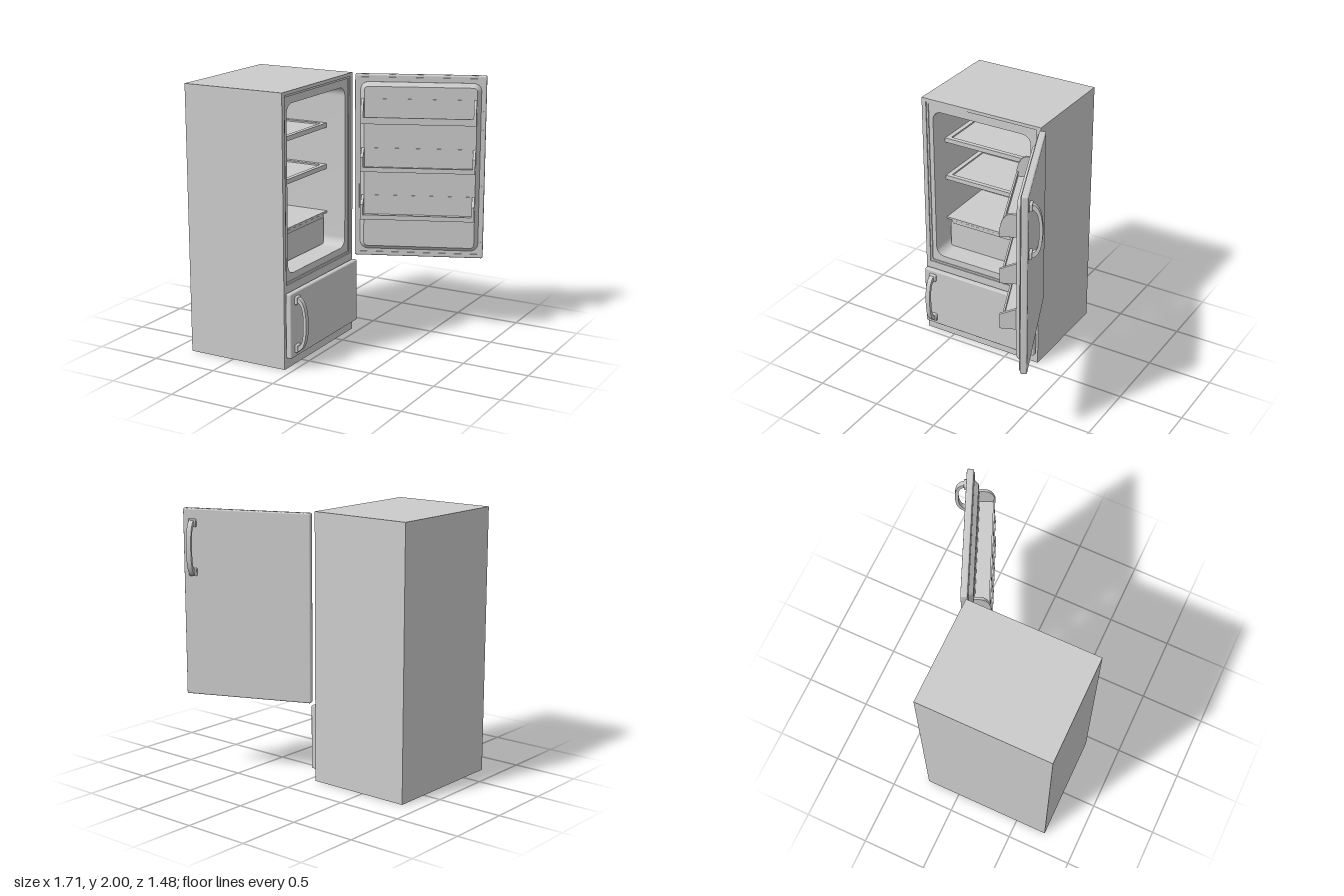
import * as THREE from 'three';
import { toCreasedNormals } from 'three/addons/utils/BufferGeometryUtils.js';
import { RoundedBoxGeometry } from 'three/addons/geometries/RoundedBoxGeometry.js';

const grey = new THREE.MeshStandardMaterial({ color: 0xcccccc });

function add(parent, name, geometry) {
  const mesh = new THREE.Mesh(geometry, grey);
  mesh.name = name;
  parent.add(mesh);
  return mesh;
}

// Box given by its lower and upper corners; r > 0 rounds the edges
function box(parent, name, [x0, y0, z0], [x1, y1, z1], r = 0) {
  const s = [x1 - x0, y1 - y0, z1 - z0];
  const g = r ? new RoundedBoxGeometry(...s, 2, r) : new THREE.BoxGeometry(...s);
  return add(parent, name, g.translate((x0 + x1) / 2, (y0 + y1) / 2, (z0 + z1) / 2));
}

// Rectangle outline with optional rounded corners
function rect(a0, b0, a1, b1, r = 0, T = THREE.Shape) {
  const s = new T();
  s.moveTo(a0 + r, b0).lineTo(a1 - r, b0);
  if (r) s.absarc(a1 - r, b0 + r, r, -Math.PI / 2, 0);
  s.lineTo(a1, b1 - r);
  if (r) s.absarc(a1 - r, b1 - r, r, 0, Math.PI / 2);
  s.lineTo(a0 + r, b1);
  if (r) s.absarc(a0 + r, b1 - r, r, Math.PI / 2, Math.PI);
  s.lineTo(a0, b0 + r);
  if (r) s.absarc(a0 + r, b0 + r, r, Math.PI, Math.PI * 1.5);
  s.closePath();
  return s;
}

function extrude(shape, depth, options = {}) {
  const g = new THREE.ExtrudeGeometry(shape, { depth, bevelEnabled: false, curveSegments: 10, ...options });
  return toCreasedNormals(g, 0.6);
}

// Extrude along +x: the outline's horizontal axis becomes -z
const extrudeX = (shape, x, depth) => extrude(shape, depth).rotateY(Math.PI / 2).translate(x, 0, 0);

// Bow handle standing out along +x, upright, centred on its base
function handle(name) {
  const g = new THREE.Group();
  g.name = name;
  const s = new THREE.Shape();
  s.moveTo(0, 0.2).lineTo(0.02, 0.2);
  s.bezierCurveTo(0.07, 0.185, 0.088, 0.1, 0.088, 0);
  s.bezierCurveTo(0.088, -0.1, 0.07, -0.185, 0.02, -0.2);
  s.lineTo(0, -0.2).lineTo(0, -0.16).lineTo(0.025, -0.16);
  s.bezierCurveTo(0.055, -0.145, 0.064, -0.09, 0.064, 0);
  s.bezierCurveTo(0.064, 0.09, 0.055, 0.145, 0.025, 0.16);
  s.lineTo(0, 0.16);
  add(g, 'handleBow', extrude(s, 0.036).translate(0, 0, -0.018));
  for (const y of [-0.18, 0.18])
    box(g, 'handleFoot', [-0.005, y - 0.03, -0.03], [0.02, y + 0.03, 0.03], 0.008);
  return g;
}

// Cabinet with a round-cornered cavity and a stepped rim around it
function buildCabinet(root) {
  const g = new THREE.Group();
  g.name = 'cabinet';
  root.add(g);
  box(g, 'cabinetBack', [-0.86, 0, -0.26], [-0.74, 2, 0.74]);
  const walls = rect(-0.74, 0, 0.26, 2);
  walls.holes.push(rect(-0.655, 0.685, 0.17, 1.905, 0.07, THREE.Path));
  add(g, 'cabinetWalls', extrudeX(walls, -0.74, 0.665));
  const rim = rect(-0.74, 0, 0.26, 2);
  rim.holes.push(rect(-0.705, 0.62, 0.225, 1.975, 0, THREE.Path));
  add(g, 'cabinetRim', extrudeX(rim, -0.075, 0.015));
  const seal = rect(-0.705, 0.62, 0.225, 1.975);
  seal.holes.push(rect(-0.69, 0.635, 0.21, 1.96, 0, THREE.Path));
  add(g, 'rimStep', extrudeX(seal, -0.075, 0.007));
}

function buildInterior(root) {
  const g = new THREE.Group();
  g.name = 'interior';
  root.add(g);
  // Shelves: frame with a thin sunken panel
  for (const y of [1.585, 1.27]) {
    const frame = rect(-0.74, -0.655, -0.23, 0.17);
    frame.holes.push(rect(-0.71, -0.62, -0.265, 0.135, 0, THREE.Path));
    add(g, 'shelfFrame', extrude(frame, 0.035).rotateX(Math.PI / 2).scale(1, 1, 1).translate(0, y + 0.035, 0))
      .geometry.translate(0, 0, 0.485);
    box(g, 'shelfPanel', [-0.72, y + 0.012, -0.14], [-0.255, y + 0.024, 0.63]);
  }
  // Crisper drawer under its lid
  box(g, 'crisperLid', [-0.74, 0.928, -0.17], [-0.23, 0.943, 0.655]);
  box(g, 'crisperDrawer', [-0.74, 0.69, -0.145], [-0.245, 0.928, 0.63]);
  box(g, 'crisperGrip', [-0.25, 0.9, -0.12], [-0.232, 0.926, 0.605]);
}

// Door bin; local x runs along the door, z points away from its inner face
function buildBin(door, y, lip, top, curved) {
  const g = new THREE.Group();
  g.name = 'doorBin';
  door.add(g);
  const [u0, u1, v0, v1] = [0.055, 0.9, 0.084, 0.2];
  const side = new THREE.Shape();
  side.moveTo(-v1, y).lineTo(-v0, y).lineTo(-v0, y + top);
  if (curved) {
    side.lineTo(-0.13, y + top);
    side.quadraticCurveTo(-0.185, y + top - 0.01, -v1, y + lip);
  } else side.lineTo(-v1, y + top - 0.05);
  side.closePath();
  for (const u of [u0, u1 - 0.02]) add(g, 'binSide', extrudeX(side, u, 0.02));
  box(g, 'binFloor', [u0 + 0.01, y, v0], [u1 - 0.01, y + 0.015, v1 - 0.005]);
  box(g, 'binFront', [u0 + 0.01, y, v1 - 0.014], [u1 - 0.01, y + lip, v1 - 0.001]);
  box(g, 'binBack', [u0 + 0.01, y, v0], [u1 - 0.01, y + top, v0 + 0.004]);
}

function buildDoor(root) {
  const door = new THREE.Group();
  door.name = 'door';
  door.position.set(-0.057, 0, -0.305);
  door.rotation.y = 0.396;
  root.add(door);
  box(door, 'doorPanel', [0, 0.6, 0], [0.97, 1.99, 0.05], 0.012);
  const gasket = rect(0.02, 0.62, 0.95, 1.97);
  gasket.holes.push(rect(0.034, 0.634, 0.936, 1.956, 0, THREE.Path));
  add(door, 'doorGasket', extrude(gasket, 0.012).translate(0, 0, 0.044));
  // Raised liner with sloping sides
  add(door, 'doorLiner', extrude(rect(0.072, 0.688, 0.902, 1.905, 0.03), 0.004, {
    bevelEnabled: true, bevelSegments: 1, bevelThickness: 0.032, bevelSize: 0.03,
  }).translate(0, 0, 0.049));
  buildBin(door, 1.645, 0.05, 0.17, true);
  buildBin(door, 1.285, 0.035, 0.16, false);
  buildBin(door, 0.922, 0.035, 0.163, false);
  const h = handle('doorHandle');
  h.position.set(0.895, 1.705, 0);
  h.rotation.y = Math.PI / 2;
  door.add(h);
}

// Closed freezer drawer below the main compartment
function buildFreezer(root) {
  const g = new THREE.Group();
  g.name = 'freezerDrawer';
  root.add(g);
  box(g, 'freezerFront', [-0.055, 0.085, -0.25], [-0.01, 0.57, 0.73], 0.012);
  box(g, 'freezerGasket', [-0.065, 0.1, -0.235], [-0.05, 0.555, 0.715]);
  const h = handle('freezerHandle');
  h.position.set(-0.01, 0.33, 0.652);
  g.add(h);
}

export function createModel() {
  const root = new THREE.Group();
  root.name = 'refrigerator';
  buildCabinet(root);
  buildInterior(root);
  buildDoor(root);
  buildFreezer(root);
  return root;
}
